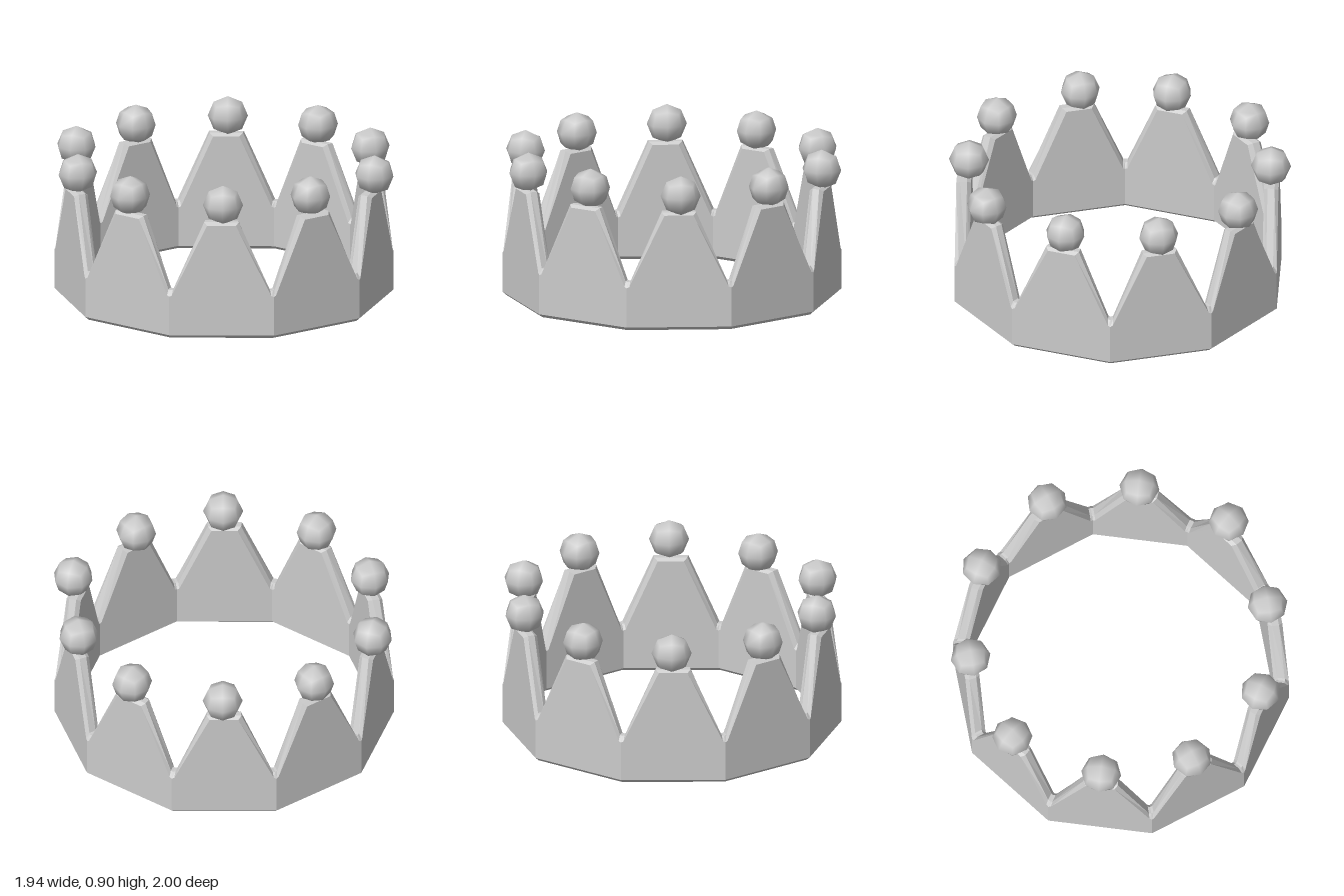
import * as THREE from 'three';

const SIDES = 10;
const OUTER = 0.922, INNER = 0.838; // distance of the wall's faces from the centre
const BEVEL = 0.022;

const material = new THREE.MeshStandardMaterial({ color: 0xcccccc });

// One side of the band: [ridge offset, ridge height, face offset, face height],
// offsets being fractions of the side's half-width
const STATIONS = [
  [-1, 0.283, -1, 0.25],
  [-0.95, 0.285, -0.95, 0.257],
  [-0.34, 0.69, -0.275, 0.675],
  [0.34, 0.69, 0.275, 0.675],
  [0.95, 0.285, 0.95, 0.257],
];

// Bevelled wall cross-section: [distance, fraction along side, height]
function section([ridgeU, ridgeY, faceU, faceY]) {
  return [
    [OUTER, faceU, 0.02],
    [OUTER - BEVEL, faceU, 0],
    [INNER + BEVEL, faceU, 0],
    [INNER, faceU, 0.02],
    [INNER, faceU, faceY],
    [INNER + BEVEL, ridgeU, ridgeY],
    [OUTER - BEVEL, ridgeU, ridgeY],
    [OUTER, faceU, faceY],
  ];
}

// Ten-sided band with one pointed spike per side
function bandGeometry() {
  const positions = [], index = [];
  const halfWidth = Math.tan(Math.PI / SIDES);
  for (let k = 0; k < SIDES; k++) {
    const angle = ((k + 0.5) * 2 * Math.PI) / SIDES;
    const c = Math.cos(angle), s = Math.sin(angle);
    for (const station of STATIONS) {
      for (const [dist, frac, y] of section(station)) {
        const u = frac * dist * halfWidth;
        positions.push(dist * c - u * s, y, dist * s + u * c);
      }
    }
  }
  const rings = SIDES * STATIONS.length, n = 8;
  for (let r = 0; r < rings; r++) {
    const next = (r + 1) % rings;
    for (let i = 0; i < n; i++) {
      const j = (i + 1) % n;
      const a = r * n + i, b = next * n + i, d = next * n + j, e = r * n + j;
      index.push(a, b, d, a, d, e);
    }
  }
  const indexed = new THREE.BufferGeometry();
  indexed.setAttribute('position', new THREE.Float32BufferAttribute(positions, 3));
  indexed.setIndex(index);
  const geometry = indexed.toNonIndexed();
  geometry.computeVertexNormals();
  return geometry;
}

// Low-poly ball: a subdivided box pushed out to a sphere, with smooth normals
function ballGeometry(radius) {
  const geometry = new THREE.BoxGeometry(1, 1, 1, 2, 2, 2);
  const pos = geometry.attributes.position, normal = geometry.attributes.normal;
  const v = new THREE.Vector3();
  for (let i = 0; i < pos.count; i++) {
    v.fromBufferAttribute(pos, i).normalize();
    normal.setXYZ(i, v.x, v.y, v.z);
    v.multiplyScalar(radius);
    pos.setXYZ(i, v.x, v.y, v.z);
  }
  return geometry;
}

// Ball centres (x, z), slightly uneven around the ring
const BALLS = [
  [0.856, 0.27], [0.497, 0.687], [0, 0.88], [-0.534, 0.697], [-0.84, 0.27],
  [-0.856, -0.285], [-0.523, -0.708], [0, -0.885], [0.518, -0.718], [0.824, -0.28],
];

export function createModel() {
  const crown = new THREE.Group();
  crown.name = 'crown';

  const band = new THREE.Mesh(bandGeometry(), material);
  band.name = 'spikedBand';
  band.position.x = -0.008;
  crown.add(band);

  const balls = new THREE.Group();
  balls.name = 'spikeBalls';
  const geometry = ballGeometry(0.115);
  BALLS.forEach(([x, z], k) => {
    const ball = new THREE.Mesh(geometry, material);
    ball.name = 'spikeBall';
    ball.position.set(x, 0.787, z);
    ball.rotation.y = (-(k - 2) * 2 * Math.PI) / SIDES;
    balls.add(ball);
  });
  crown.add(balls);

  return crown;
}
